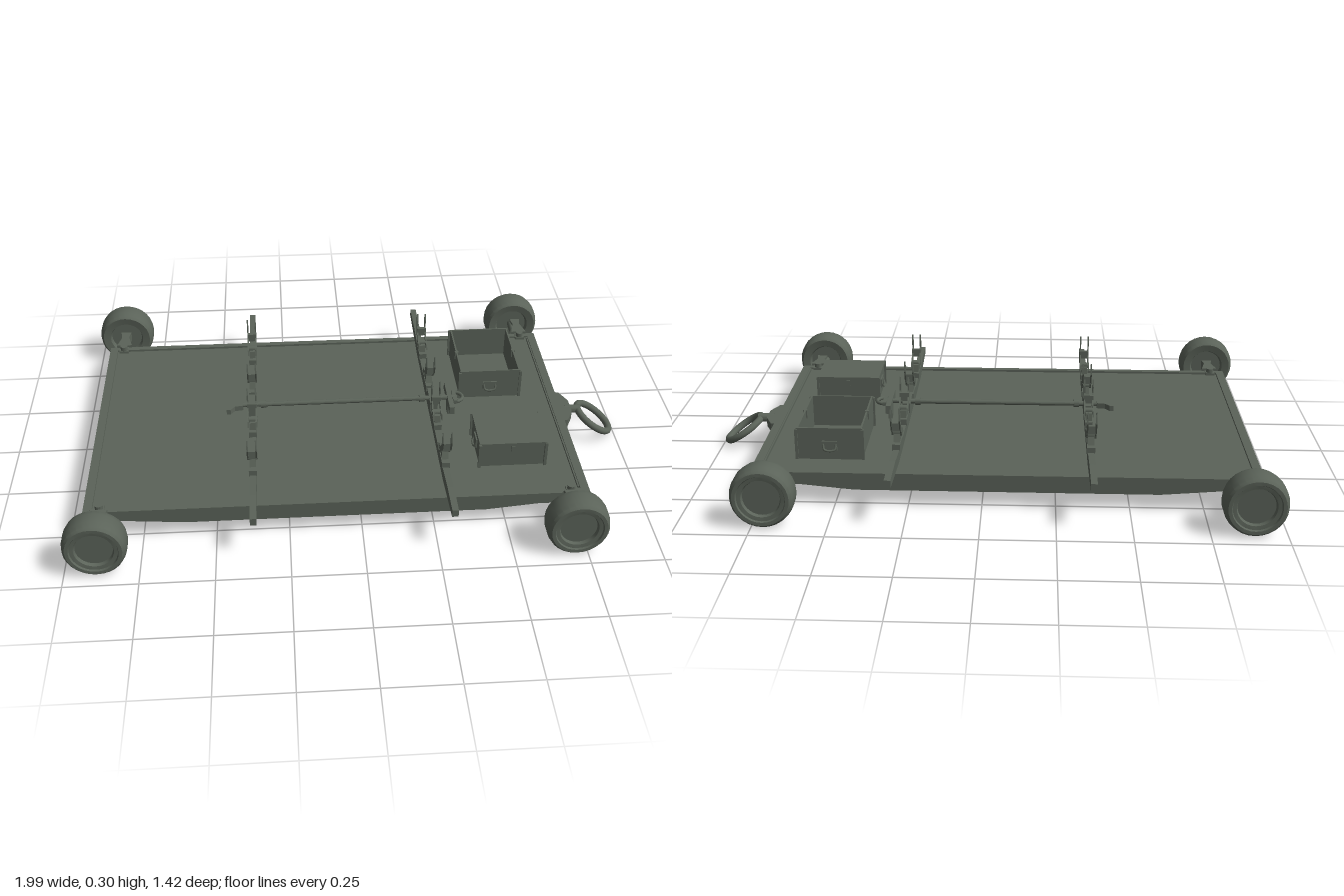
import * as THREE from 'three';
import { toCreasedNormals } from 'three/addons/utils/BufferGeometryUtils.js';

const paint = new THREE.MeshStandardMaterial({ color: 0x5b6359 });
paint.name = 'greyGreenPaint';

export function createModel() {
  const root = new THREE.Group();
  root.name = 'flatTrailer';

  const group = (name, parent = root) => {
    const g = new THREE.Group();
    g.name = name;
    parent.add(g);
    return g;
  };
  const add = (name, geo, x = 0, y = 0, z = 0, parent = root) => {
    const m = new THREE.Mesh(geo, paint);
    m.name = name;
    m.position.set(x, y, z);
    parent.add(m);
    return m;
  };
  // box given by its limits on each axis
  const box = (name, x0, x1, y0, y1, z0, z1, parent = root) =>
    add(name, new THREE.BoxGeometry(x1 - x0, y1 - y0, z1 - z0),
      (x0 + x1) / 2, (y0 + y1) / 2, (z0 + z1) / 2, parent);
  // outline extruded evenly about its own plane
  const plate = (points, depth) => {
    const shape = new THREE.Shape(points.map(p => new THREE.Vector2(p[0], p[1])));
    return new THREE.ExtrudeGeometry(shape, { depth, bevelEnabled: false }).translate(0, 0, -depth / 2);
  };
  const sidePlate = (points, depth) => plate(points, depth).rotateY(-Math.PI / 2); // outline in z, y
  const flatPlate = (points, depth) => plate(points, depth).rotateX(Math.PI / 2); // outline in x, z
  const rod = (r, length, axis, sides = 16) => {
    const g = new THREE.CylinderGeometry(r, r, length, sides);
    if (axis === 'x') g.rotateZ(Math.PI / 2);
    if (axis === 'z') g.rotateX(Math.PI / 2);
    return toCreasedNormals(g, 0.7);
  };

  // deck, recessed inside a frame
  const bed = group('bed');
  box('deckPanel', -0.93, 0.77, 0.1, 0.119, -0.51, 0.51, bed);
  for (const s of [1, -1]) {
    box('sideRail', -0.945, 0.785, 0.08, 0.127, s * 0.508 - 0.008, s * 0.508 + 0.008, bed);
    box('sideFlange', -0.945, 0.785, 0.104, 0.127, s * 0.514 - 0.008, s * 0.514 + 0.008, bed);
    add('sideSkirt', plate([[-0.82, 0.081], [-0.6, 0.063], [0.43, 0.063], [0.62, 0.081]], 0.008),
      0, 0, s * 0.512, bed);
  }
  for (const [x0, x1] of [[-0.945, -0.915], [0.755, 0.785]]) {
    box('endBeam', x0, x1, 0.08, 0.127, -0.515, 0.515, bed);
  }
  box('deckSeam', 0.748, 0.753, 0.118, 0.128, -0.49, 0.49, bed);

  // wheels with stub arms and pivots
  const tyre = [[0, -0.03], [0.06, -0.03], [0.066, -0.045], [0.094, -0.049], [0.102, -0.04], [0.107, -0.02],
    [0.107, 0.02], [0.102, 0.04], [0.094, 0.049], [0.082, 0.049], [0.079, 0.043], [0.066, 0.041],
    [0.062, 0.03], [0, 0.03]];
  const wheelGeo = toCreasedNormals(
    new THREE.LatheGeometry(tyre.map(p => new THREE.Vector2(p[0], p[1])), 28).rotateX(Math.PI / 2), 0.5);
  for (const x of [-0.89, 0.71]) {
    for (const s of [1, -1]) {
      const corner = group('wheelAssembly');
      corner.position.set(x, 0, 0);
      corner.rotation.y = s < 0 ? Math.PI : 0;
      const dx = x > 0 ? 0.012 * s : 0;
      add('wheel', wheelGeo, 0, 0.113, 0.66, corner);
      add('stubArm', flatPlate([[-0.03, 0.52], [0.03, 0.52], [0.014, 0.58], [0.02, 0.62], [-0.02, 0.62], [-0.014, 0.58]], 0.035),
        dx, 0.12, 0, corner);
      add('axle', rod(0.016, 0.08, 'z'), 0, 0.113, 0.6, corner);
      box('pivotBlock', dx - 0.018, dx + 0.018, 0.06, 0.129, 0.488, 0.523, corner);
      add('pivotPin', rod(0.014, 0.03, 'y'), dx, 0.13, 0.503, corner);
    }
  }

  // cross bars carrying two cradles each
  const barOutline = [[-0.67, 0.172], [-0.67, 0.145], [-0.52, 0.131], [-0.4, 0.118], [0.4, 0.118], [0.52, 0.131],
    [0.645, 0.145], [0.645, 0.172], [0.52, 0.172], [0.38, 0.157], [-0.38, 0.157], [-0.52, 0.172]];
  const horn = [[0.075, 0.195], [0.1, 0.2], [0.125, 0.207], [0.152, 0.232], [0.167, 0.27], [0.163, 0.293],
    [0.158, 0.31], [0.149, 0.285], [0.149, 0.26], [0.135, 0.238], [0.112, 0.222], [0.082, 0.216]];
  for (const x of [-0.37, 0.3]) {
    const carrier = group('crossBarAssembly');
    carrier.position.x = x;
    add('crossBar', sidePlate(barOutline, 0.022), 0, 0, 0, carrier);
    box('centreBlock', -0.014, 0.014, 0.155, 0.193, -0.05, 0.05, carrier);
    for (const cz of [0.24, -0.24]) {
      for (const s of [1, -1]) {
        const clamp = group('cradleClamp', carrier);
        clamp.position.z = cz;
        clamp.rotation.y = s < 0 ? Math.PI : 0;
        box('clampFoot', -0.014, 0.014, 0.155, 0.178, 0.07, 0.155, clamp);
        add('clampPost', sidePlate([[0.085, 0.175], [0.135, 0.175], [0.122, 0.205], [0.09, 0.205]], 0.022), 0, 0, 0, clamp);
        add('hornHinge', rod(0.011, 0.036, 'x'), 0, 0.207, 0.112, clamp);
        for (const o of [-0.015, 0.015]) add('cradleHorn', sidePlate(horn, 0.005), o, 0, 0, clamp);
        box('cradlePad', -0.017, 0.017, 0.225, 0.255, 0.136, 0.149, clamp);
      }
    }
  }

  // long locking rod with its handle and end bracket
  const lock = group('lockingRod');
  add('rod', rod(0.009, 0.81, 'x'), -0.02, 0.183, 0, lock);
  for (const x of [-0.33, 0.26]) add('rodCollar', rod(0.014, 0.02, 'x'), x, 0.183, 0, lock);
  add('rodEnd', flatPlate([[-0.465, -0.044], [-0.45, -0.044], [-0.435, -0.025], [-0.405, -0.02], [-0.405, 0.02],
    [-0.435, 0.025], [-0.45, 0.044], [-0.465, 0.044]], 0.02), 0, 0.183, 0, lock);
  box('endBracket', 0.354, 0.372, 0.165, 0.195, -0.085, 0.085, lock);
  add('gripLoop', new THREE.TorusGeometry(0.03, 0.007, 8, 16, Math.PI).rotateX(Math.PI / 2).rotateY(Math.PI / 2),
    0.382, 0.183, 0, lock);
  box('gripBar', 0.375, 0.389, 0.176, 0.19, -0.036, 0.036, lock);
  box('rodSupport', 0.356, 0.37, 0.118, 0.166, -0.02, 0.02, lock);

  // carrying handle made of a backing plate and a bent bar, facing +z
  const handle = (parent, x, y, z, turn) => {
    const h = group('handle', parent);
    h.position.set(x, y, z);
    h.rotation.y = turn;
    box('handlePlate', -0.026, 0.026, -0.016, 0.018, -0.002, 0.004, h);
    const path = new THREE.CatmullRomCurve3([[-0.022, 0.01, 0], [-0.018, -0.012, 0.009], [0.018, -0.012, 0.009], [0.022, 0.01, 0]]
      .map(p => new THREE.Vector3(...p)));
    add('handleBar', new THREE.TubeGeometry(path, 14, 0.004, 6), 0, 0, 0, h);
  };
  const posts = (parent, x0, x1, z0, z1, top) => {
    for (const x of [x0, x1]) for (const z of [z0, z1]) {
      box('cornerPost', x - 0.005, x + 0.005, 0.118, top, z - 0.005, z + 0.005, parent);
    }
  };

  // closed box
  const chest = group('closedBox');
  box('chestBody', 0.428, 0.658, 0.118, 0.21, 0.155, 0.345, chest);
  box('chestLid', 0.424, 0.662, 0.205, 0.216, 0.152, 0.348, chest);
  posts(chest, 0.426, 0.66, 0.155, 0.35, 0.214);
  for (const s of [1, -1]) {
    handle(chest, 0.543 + s * 0.116, 0.165, 0.25, s * Math.PI / 2);
    box('chestLatch', 0.537, 0.549, 0.18, 0.205, 0.25 + s * 0.098 - 0.004, 0.25 + s * 0.098 + 0.004, chest);
  }

  // open box with thin walls
  const crate = group('openBox');
  const wall = 0.006;
  for (const z of [-0.39, -0.09]) box('crateEndWall', 0.415, 0.645, 0.118, 0.235, z - wall / 2, z + wall / 2, crate);
  for (const x of [0.42, 0.64]) {
    box('crateSideWall', x - wall / 2, x + wall / 2, 0.118, 0.235, -0.39, -0.09, crate);
    box('crateLatch', x - 0.007, x + 0.007, 0.205, 0.236, -0.236, -0.224, crate);
  }
  posts(crate, 0.415, 0.645, -0.393, -0.087, 0.23);
  handle(crate, 0.53, 0.17, -0.086, 0);
  handle(crate, 0.53, 0.17, -0.394, Math.PI);

  // towing ring on a tapered mount
  const tow = group('towHitch');
  add('hitchMount', flatPlate([[0.78, -0.095], [0.8, -0.09], [0.826, -0.035], [0.826, 0.035], [0.8, 0.09], [0.78, 0.095]], 0.034),
    0, 0.105, 0, tow);
  add('hitchNeck', rod(0.016, 0.06, 'x'), 0.835, 0.108, 0, tow);
  const ring = add('towRing', new THREE.TorusGeometry(0.075, 0.013, 12, 32).rotateX(Math.PI / 2), 0.919, 0.065, 0, tow);
  ring.rotation.z = -0.58;

  return root;
}
